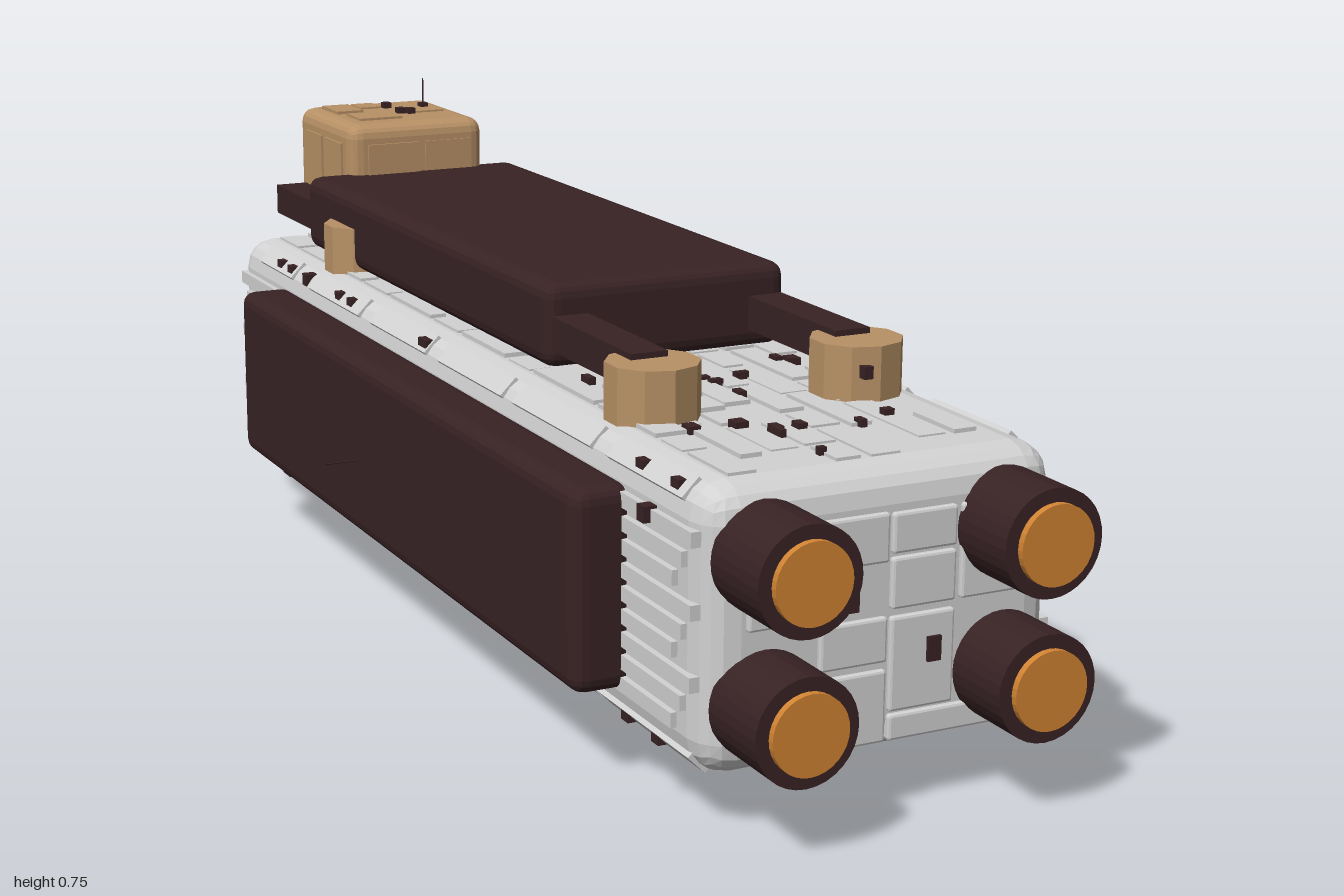
import * as THREE from 'three';
import { mergeGeometries } from 'three/addons/utils/BufferGeometryUtils.js';
import { RoundedBoxGeometry } from 'three/addons/geometries/RoundedBoxGeometry.js';

const CX = 0.027; // centre line of the ship

function makeMaterial(name, color) {
  const m = new THREE.MeshStandardMaterial({ color });
  m.name = name;
  m.flatShading = true;
  return m;
}

// Small seeded generator for the surface detail
function seeded(seed) {
  return () => {
    seed = (seed * 16807) % 2147483647;
    return seed / 2147483647;
  };
}

// Box from its limits on each axis
function boxGeo(x0, x1, y0, y1, z0, z1) {
  return new THREE.BoxGeometry(x1 - x0, y1 - y0, z1 - z0)
    .translate((x0 + x1) / 2, (y0 + y1) / 2, (z0 + z1) / 2);
}

// Bevelled box from its limits
function bevelGeo(x0, x1, y0, y1, z0, z1, r, seg = 1) {
  return new RoundedBoxGeometry(x1 - x0, y1 - y0, z1 - z0, seg, r)
    .translate((x0 + x1) / 2, (y0 + y1) / 2, (z0 + z1) / 2);
}

export function createModel() {
  const ship = new THREE.Group();
  ship.name = 'cargoShip';
  const grey = makeMaterial('hullGrey', 0xd2d2d2);
  const dark = makeMaterial('darkBrown', 0x382224);
  const tan = makeMaterial('tan', 0xb89166);
  const orange = makeMaterial('orange', 0xd28433);

  const add = (name, geo, mat) => {
    const mesh = new THREE.Mesh(geo, mat);
    mesh.name = name;
    ship.add(mesh);
    return mesh;
  };
  const rnd = seeded(4711);
  const range = (a, b) => a + (b - a) * rnd();

  // Main hull
  add('hull', bevelGeo(-0.236, 0.29, 0.08, 0.47, -0.912, 0.882, 0.05, 2), grey);

  // Long ribs down both flanks
  const ribs = [];
  for (const s of [-1, 1]) {
    for (let i = 0; i < 9; i++) {
      const y = 0.135 + i * 0.032;
      const x = CX + s * 0.264;
      const end = 0.82 + 0.025 * (i % 3);
      ribs.push(boxGeo(x - 0.008, x + 0.008, y, y + 0.021, -end - 0.01, end - 0.015));
    }
  }
  add('flankRibs', mergeGeometries(ribs), grey);

  // Ribs lying on the bevels between flank, deck and belly
  const edgeRibs = [];
  for (const s of [-1, 1]) {
    for (const [y, t] of [[0.453, 1], [0.097, -1]]) {
      for (let i = 0; i < 6; i++) {
        const len = range(0.16, 0.27);
        const g = new THREE.BoxGeometry(0.035, 0.012, len);
        g.rotateZ(-s * t * Math.PI / 4);
        edgeRibs.push(g.translate(CX + s * 0.247, y, -0.72 + i * 0.285));
      }
    }
  }
  add('edgeRibs', mergeGeometries(edgeRibs), grey);

  // Deck and belly plating in rows of uneven plates
  for (const [name, y] of [['deckPlates', 0.47], ['bellyPlates', 0.08]]) {
    const plates = [];
    for (let i = 0; i < 8; i++) {
      let z = -0.85;
      const x = -0.18 + i * 0.0525;
      while (z < 0.78) {
        const len = range(0.05, 0.2);
        const h = range(0.002, 0.007);
        const z1 = Math.min(z + len, 0.83);
        if (rnd() > 0.2) plates.push(boxGeo(x, x + range(0.025, 0.048), y - h, y + h, z, z1));
        z += len + 0.015;
      }
    }
    add(name, mergeGeometries(plates), grey);
  }

  // Raised plates on the front and rear faces: x0, x1, y0, y1
  const plateFace = (name, z, list) => add(name, mergeGeometries(
    list.map(([a, b, c, d]) => bevelGeo(a, b, c, d, z - 0.008, z + 0.008, 0.004))), grey);
  plateFace('frontPlates', 0.882, [
    [-0.18, -0.085, 0.28, 0.41], [-0.075, 0.025, 0.345, 0.412], [-0.075, 0.025, 0.21, 0.272],
    [0.03, 0.127, 0.28, 0.35], [0.03, 0.127, 0.355, 0.41], [0.135, 0.24, 0.28, 0.41],
    [0.03, 0.235, 0.1, 0.136], [-0.075, 0.025, 0.1, 0.2], [0.03, 0.127, 0.14, 0.27],
  ]);
  plateFace('rearPlates', -0.912, [
    [0.16, 0.25, 0.33, 0.4], [-0.16, -0.06, 0.31, 0.39], [0.05, 0.14, 0.16, 0.23],
    [-0.17, -0.07, 0.14, 0.21], [0.18, 0.24, 0.13, 0.22],
  ]);

  // Small dark equipment boxes scattered over the hull
  const bits = [];
  const bit = (x, y, z, w = 0.02, h = 0.02, d = 0.02) =>
    bits.push(new THREE.BoxGeometry(w, h, d).translate(x, y, z));
  for (let i = 0; i < 48; i++) {
    bit(range(-0.18, 0.23), 0.077, range(-0.85, 0.82), range(0.01, 0.024), 0.014, range(0.01, 0.03));
  }
  for (let i = 0; i < 20; i++) {
    bit(range(-0.18, 0.23), 0.473, range(0.3, 0.83), range(0.01, 0.022), 0.016, range(0.01, 0.025));
  }
  for (let i = 0; i < 9; i++) {
    const z = range(-0.85, 0.82);
    bit(-0.222, 0.452, z);
    bit(0.276, 0.095, -z);
    bit(-0.222, 0.097, z * 0.9 + 0.03);
  }
  for (const [x, y, w, h] of [[-0.05, 0.305, 0.026, 0.02], [-0.035, 0.3, 0.026, 0.026],
    [0.094, 0.22, 0.02, 0.034], [-0.04, 0.152, 0.026, 0.028], [-0.07, 0.113, 0.014, 0.026],
    [-0.06, 0.1, 0.014, 0.03]]) bit(x, y, 0.885, w, h, 0.02);
  for (const [x, y] of [[0.1, 0.37], [0.07, 0.35], [0.03, 0.27], [-0.09, 0.41], [-0.12, 0.25],
    [0.11, 0.13], [-0.15, 0.18], [0, 0.15]]) bit(x, y, -0.916, 0.026, 0.03, 0.024);
  for (const s of [-1, 1]) {
    bit(CX + s * 0.272, 0.195, -0.76, 0.02, 0.045, 0.03);
    bit(CX + s * 0.272, 0.405, 0.735, 0.02, 0.022, 0.02);
    bit(CX + s * 0.27, 0.115, -0.64, 0.02, 0.045, 0.035);
  }
  add('equipmentBoxes', mergeGeometries(bits), dark);

  // Flank cargo pods
  for (const s of [-1, 1]) {
    const inner = CX + s * 0.25, outer = CX + s * 0.34;
    add(s > 0 ? 'leftPod' : 'rightPod', bevelGeo(Math.min(inner, outer), Math.max(inner, outer),
      0.136, 0.42, -0.688, 0.662, 0.022, 2), dark);
  }

  // Top cargo block
  add('topBlock', bevelGeo(-0.17, 0.223, 0.478, 0.603, -0.735, 0.27, 0.022, 2), dark);

  // Deck rails and their round mounts
  for (const s of [-1, 1]) {
    const x = CX + s * 0.16;
    add('rail', boxGeo(x - 0.028, x + 0.028, 0.506, 0.557, -0.917, 0.52), dark);
    for (const z of [0.53, -0.555]) {
      add('railMount', new THREE.CylinderGeometry(0.067, 0.067, 0.085, 10)
        .translate(x, 0.506, z), tan);
    }
  }
  add('mountBox', boxGeo(0.158, 0.172, 0.505, 0.523, 0.58, 0.602), dark);

  // Engines with glowing nozzles
  const cyl = (r, z0, z1) => new THREE.CylinderGeometry(r, r, z1 - z0, 32)
    .rotateX(Math.PI / 2).translate(0, 0, (z0 + z1) / 2);
  for (const s of [-1, 1]) {
    for (const y of [0.179, 0.375]) {
      const engine = new THREE.Group();
      engine.name = 'engine';
      engine.position.set(CX + s * 0.178, y, 0);
      const shell = new THREE.Mesh(cyl(0.074, 0.87, 0.99), dark);
      shell.name = 'engineShell';
      const nozzle = new THREE.Mesh(cyl(0.055, 0.97, 1), orange);
      nozzle.name = 'engineNozzle';
      engine.add(shell, nozzle);
      ship.add(engine);
    }
  }

  // Bridge cabin with raised panels
  add('cabin', bevelGeo(-0.1, 0.153, 0.515, 0.69, -0.962, -0.695, 0.024, 2), tan);
  const panels = [
    boxGeo(-0.068, 0.027, 0.6, 0.656, -0.7, -0.69),
    boxGeo(0.04, 0.125, 0.605, 0.656, -0.7, -0.692),
    boxGeo(-0.07, -0.02, 0.685, 0.695, -0.92, -0.84),
    boxGeo(-0.01, 0.03, 0.685, 0.693, -0.93, -0.88),
    boxGeo(-0.06, 0.02, 0.685, 0.694, -0.82, -0.75),
    boxGeo(0.05, 0.12, 0.685, 0.693, -0.86, -0.8),
    boxGeo(-0.075, 0.13, 0.585, 0.665, -0.97, -0.955),
  ];
  for (const x of [-0.1, 0.153]) {
    for (const z of [-0.92, -0.82]) panels.push(boxGeo(x - 0.004, x + 0.004, 0.58, 0.655, z, z + 0.085));
  }
  add('cabinPanels', mergeGeometries(panels), tan);
  add('cabinWindow', boxGeo(-0.065, 0.112, 0.597, 0.655, -0.979, -0.97), orange);
  const roofBits = [[0.04, -0.88], [0.055, -0.8], [0.1, -0.85], [0.04, -0.81]];
  add('roofBoxes', mergeGeometries(roofBits.map(([x, z]) =>
    new THREE.BoxGeometry(0.014, 0.016, 0.016).translate(x, 0.692, z))), dark);

  // Thin antennas: start and end points
  const antennas = [
    [0.1, 0.68, -0.85, 0.1, 0.745, -0.85],
    [-0.145, 0.09, -0.06, -0.145, 0, -0.06],
    [-0.065, 0.09, 0.355, -0.065, 0.026, 0.355],
    [0.198, 0.09, -0.8, 0.198, 0.013, -0.8],
    [-0.3, 0.26, -0.125, -0.368, 0.26, -0.125],
    [-0.01, 0.448, -0.89, -0.01, 0.489, -1],
  ];
  for (const [ax, ay, az, bx, by, bz] of antennas) {
    const path = new THREE.LineCurve3(new THREE.Vector3(ax, ay, az), new THREE.Vector3(bx, by, bz));
    add('antenna', new THREE.TubeGeometry(path, 1, 0.0013, 5), dark);
  }
  return ship;
}
